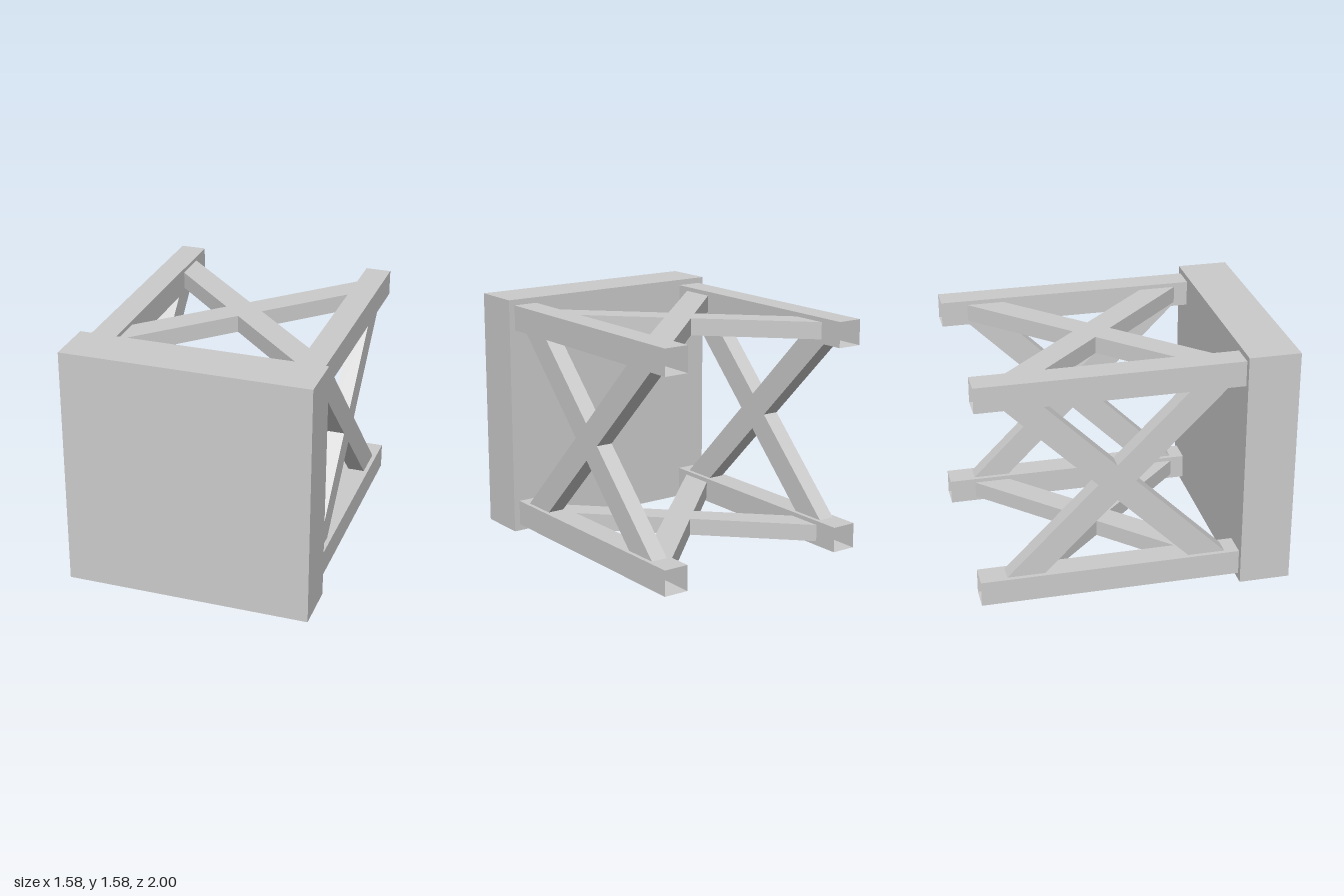
import * as THREE from 'three';

const PANEL_BACK = 0.67, REAR = -1;
const RAIL = 0.165;            // rail width and height
const RAIL_X = 0.667, MID_Y = 0.793, RAIL_Y = 0.667;
const BRACE_Z = -0.125, BRACE_T = 0.11;

// Flat X whose arm ends are cut flush with the rails (v = +-0.585)
function braceGeometry() {
  const end = RAIL_X - RAIL / 2, c = 0.12;
  const quarter = [[c, 0], [end + c, end], [end - c, end], [0, c]];
  const pts = [
    ...quarter,
    ...quarter.slice(0, 3).reverse().map(([u, v]) => [-u, v]),
    ...quarter.slice(1).map(([u, v]) => [-u, -v]),
    ...quarter.slice(1, 3).reverse().map(([u, v]) => [u, -v]),
  ];
  const shape = new THREE.Shape(pts.map(([u, v]) => new THREE.Vector2(u, v)));
  const geo = new THREE.ExtrudeGeometry(shape, { depth: BRACE_T, bevelEnabled: false });
  return geo.translate(0, 0, -BRACE_T / 2);
}

export function createModel() {
  const group = new THREE.Group();
  const solid = new THREE.MeshStandardMaterial({ color: 0xcccccc, flatShading: true });
  const open = new THREE.MeshStandardMaterial({ color: 0xcccccc, flatShading: true, side: THREE.DoubleSide });

  const add = (name, geo, mat, x, y, z) => {
    const mesh = new THREE.Mesh(geo, mat);
    mesh.name = name;
    mesh.position.set(x, y, z);
    group.add(mesh);
  };

  // Front panel
  add('frontPanel', new THREE.BoxGeometry(1.58, 1.58, 1 - PANEL_BACK), solid, 0, 0.79, (1 + PANEL_BACK) / 2);

  // Four hollow square rails, open at the rear
  const rail = new THREE.CylinderGeometry(RAIL / Math.SQRT2, RAIL / Math.SQRT2, PANEL_BACK - REAR, 4, 1, true)
    .rotateY(Math.PI / 4).rotateX(Math.PI / 2);
  // Cross braces between neighbouring rails
  const sideBrace = braceGeometry().rotateY(Math.PI / 2);
  const flatBrace = braceGeometry().rotateZ(Math.PI / 2).rotateX(Math.PI / 2);

  for (const s of [-1, 1]) {
    const side = s > 0 ? 'left' : 'right', level = s > 0 ? 'top' : 'bottom';
    for (const t of [-1, 1]) {
      add(side + (t > 0 ? 'Top' : 'Bottom') + 'Rail', rail, open,
        s * RAIL_X, MID_Y + t * RAIL_Y, (PANEL_BACK + REAR) / 2);
    }
    add(side + 'CrossBrace', sideBrace, solid, s * RAIL_X, MID_Y, BRACE_Z);
    add(level + 'CrossBrace', flatBrace, solid, 0, MID_Y + s * RAIL_Y, BRACE_Z);
  }
  return group;
}
